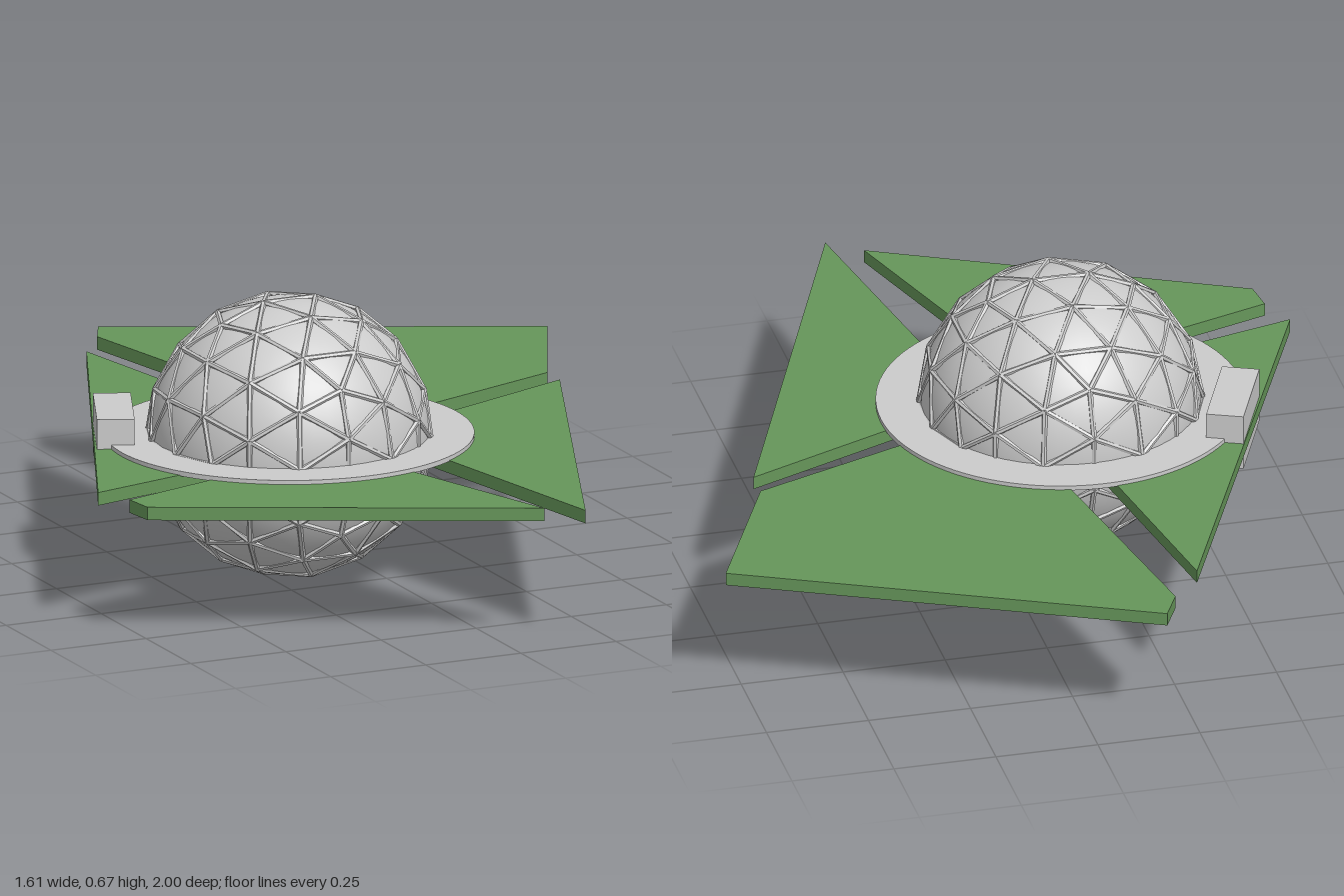
import * as THREE from 'three';
import { mergeGeometries } from 'three/addons/utils/BufferGeometryUtils.js';

const CENTER = new THREE.Vector3(-0.18, 0.345, 0.09);
const RADIUS = 0.338;

// Struts along the edges of a geodesic sphere
function geodesicStruts(radius, thickness) {
  const pos = new THREE.IcosahedronGeometry(radius, 2).attributes.position;
  const key = (v) => v.toArray().map((n) => Math.round(n * 1000) + 0).join(',');
  const up = new THREE.Vector3(0, 1, 0);
  const seen = new Set();
  const parts = [];
  for (let i = 0; i < pos.count; i += 3) {
    for (let k = 0; k < 3; k++) {
      const a = new THREE.Vector3().fromBufferAttribute(pos, i + k);
      const b = new THREE.Vector3().fromBufferAttribute(pos, i + (k + 1) % 3);
      const id = [key(a), key(b)].sort().join('|');
      if (seen.has(id)) continue;
      seen.add(id);
      const dir = b.clone().sub(a);
      const strut = new THREE.CylinderGeometry(thickness, thickness, dir.length(), 6);
      strut.applyQuaternion(new THREE.Quaternion().setFromUnitVectors(up, dir.normalize()));
      const mid = a.add(b).multiplyScalar(0.5);
      strut.translate(mid.x, mid.y, mid.z);
      parts.push(strut);
    }
  }
  return mergeGeometries(parts);
}

// Flat slab from [x, z] outline points, spanning y0..y1
function slab(points, y0, y1) {
  const shape = new THREE.Shape(points.map(([x, z]) => new THREE.Vector2(x, -z)));
  const geo = new THREE.ExtrudeGeometry(shape, { depth: y1 - y0, bevelEnabled: false });
  return geo.rotateX(-Math.PI / 2).translate(0, y0, 0);
}

export function createModel() {
  const model = new THREE.Group();
  const grey = new THREE.MeshStandardMaterial({ color: 0xcccccc });
  const greyFlat = new THREE.MeshStandardMaterial({ color: 0xcccccc, flatShading: true });
  const green = new THREE.MeshStandardMaterial({ color: 0x66965a });
  const add = (name, geometry, material) => {
    const mesh = new THREE.Mesh(geometry, material);
    mesh.name = name;
    model.add(mesh);
    return mesh;
  };

  // Sphere with its geodesic lattice
  add('sphere', new THREE.SphereGeometry(RADIUS - 0.004, 48, 32), grey).position.copy(CENTER);
  add('lattice', geodesicStruts(RADIUS, 0.007), greyFlat).position.copy(CENTER);

  // Flat ring walkway around the equator
  const ringShape = new THREE.Shape().absarc(0, 0, 0.44, 0, Math.PI * 2);
  ringShape.holes.push(new THREE.Path().absarc(0, 0, 0.32, 0, Math.PI * 2, true));
  const ring = new THREE.ExtrudeGeometry(ringShape, { depth: 0.012, bevelEnabled: false, curveSegments: 48 });
  add('ring', ring.rotateX(-Math.PI / 2), grey).position.set(CENTER.x, 0.338, CENTER.z);

  // Four ground panels, inner corners tucked inside the sphere
  const panels = {
    backPanel: [[-0.17, -1], [0.8, -0.55], [0.62, -0.17], [-0.02, 0.07], [-0.21, -0.92]],
    rightPanel: [[-0.29, -0.81], [-0.117, 0.187], [-0.81, 0.36]],
    frontPanel: [[-0.77, 0.45], [-0.76, 0.53], [0.09, 0.94], [-0.136, 0.247]],
    leftPanel: [[0.62, -0.1], [0.17, 1], [0.015, 0.152]],
  };
  for (const [name, points] of Object.entries(panels)) add(name, slab(points, 0.308, 0.34), green);

  // Entrance block at the side of the ring
  const block = add('entranceBlock', new THREE.BoxGeometry(0.09, 0.14, 0.242), grey);
  block.position.set(-0.557, 0.343, -0.09);
  block.rotation.y = -0.4;

  return model;
}
